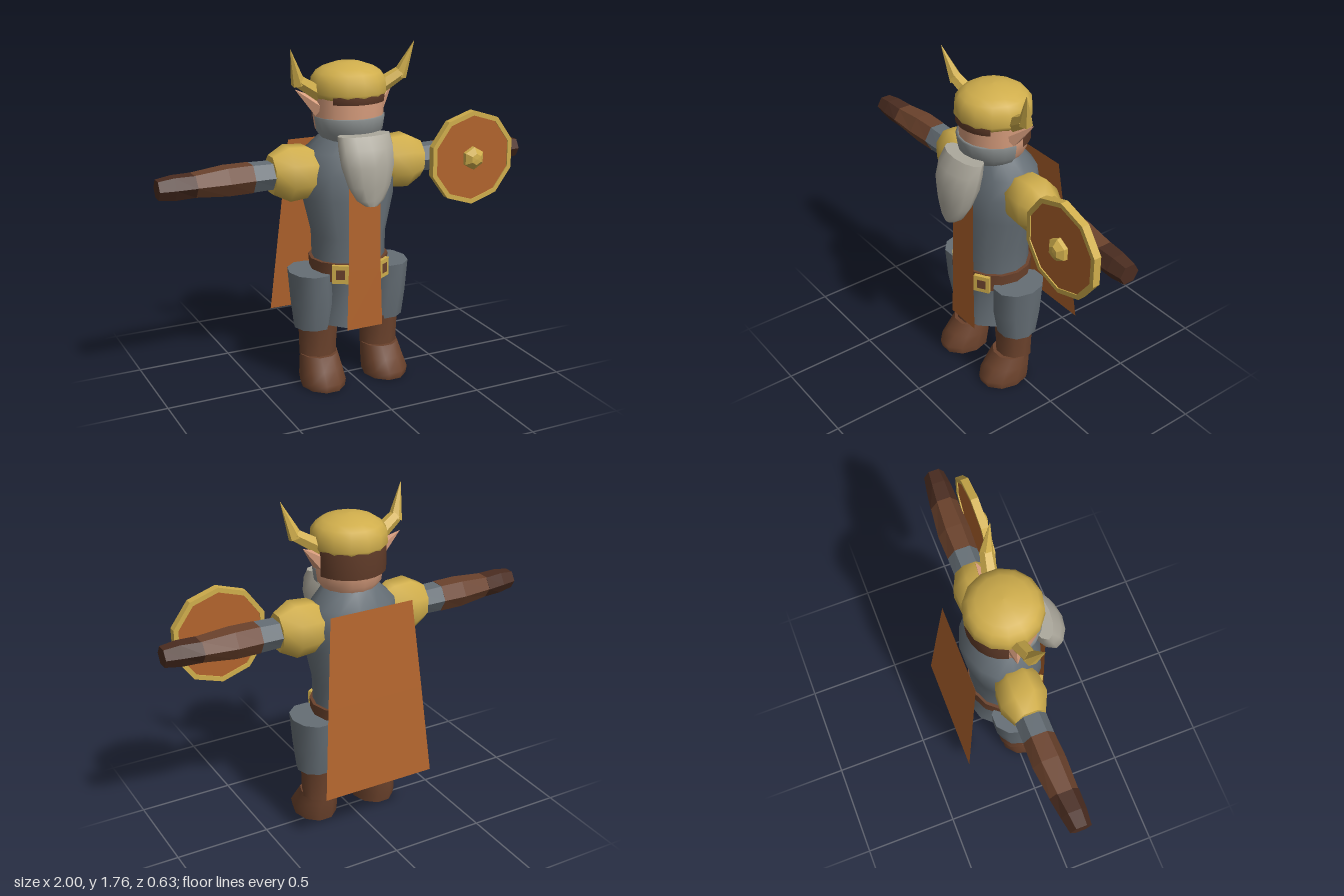
import * as THREE from 'three';

const mat = (name, color, side = THREE.FrontSide) => {
  const m = new THREE.MeshStandardMaterial({ color, side });
  m.name = name;
  return m;
};

// Flat facets: unshared vertices with face normals
function facet(geo) {
  const g = geo.index ? geo.toNonIndexed() : geo;
  g.computeVertexNormals();
  return g;
}

// Capped skin over elliptical sections [y, cx, cz, rx, rz], bottom to top
function loft(sections, n = 12, turn = 0) {
  const pos = [], idx = [];
  const ring = ([y, cx, cz, rx, rz]) => {
    const start = pos.length / 3;
    for (let i = 0; i < n; i++) {
      const a = turn + (i / n) * Math.PI * 2;
      pos.push(cx + rx * Math.cos(a), y, cz + rz * Math.sin(a));
    }
    return start;
  };
  const starts = sections.map(ring);
  for (let j = 0; j + 1 < starts.length; j++) {
    for (let i = 0; i < n; i++) {
      const k = (i + 1) % n, lo = starts[j], hi = starts[j + 1];
      idx.push(lo + i, hi + i, lo + k, hi + i, hi + k, lo + k);
    }
  }
  for (const top of [false, true]) {
    const s = sections[top ? sections.length - 1 : 0];
    const start = ring(s), mid = pos.length / 3;
    pos.push(s[1], s[0], s[2]);
    for (let i = 0; i < n; i++) {
      const k = (i + 1) % n;
      if (top) idx.push(mid, start + k, start + i);
      else idx.push(mid, start + i, start + k);
    }
  }
  const g = new THREE.BufferGeometry();
  g.setAttribute('position', new THREE.Float32BufferAttribute(pos, 3));
  g.setIndex(idx);
  g.computeVertexNormals();
  return g;
}

// Tapered faceted rod between two points
function rod(a, b, r0, r1, n) {
  const p = new THREE.Vector3(...a), q = new THREE.Vector3(...b);
  const d = q.clone().sub(p);
  const g = new THREE.CylinderGeometry(r1, r0, d.length(), n);
  g.applyQuaternion(new THREE.Quaternion().setFromUnitVectors(new THREE.Vector3(0, 1, 0), d.normalize()));
  p.add(q).multiplyScalar(0.5);
  return facet(g.translate(p.x, p.y, p.z));
}

// Lathe, optionally over part of a turn; angle 0 faces the front
function lathe(points, n, from = 0, sweep = Math.PI * 2) {
  return new THREE.LatheGeometry(points.map(([r, y]) => new THREE.Vector2(r, y)), n, from, sweep);
}

// Cloth panel through rows [halfWidth, y, z], top to bottom
function panel(rows) {
  const g = new THREE.PlaneGeometry(1, 1, 1, rows.length - 1);
  const p = g.attributes.position;
  rows.forEach(([w, y, z], j) => {
    p.setXYZ(j * 2, -w, y, z);
    p.setXYZ(j * 2 + 1, w, y, z);
  });
  return facet(g);
}

export function createModel() {
  const gold = mat('gold', 0xd0ae4c);
  const orange = mat('orange cloth', 0xb2642d, THREE.DoubleSide);
  const steel = mat('blue grey', 0x656e75);
  const brown = mat('brown leather', 0x6b422c);
  const dark = mat('dark brown', 0x4a2c20);
  const skin = mat('skin', 0xd69c7c);
  const beardGrey = mat('light grey', 0xaca89c);
  const whisker = mat('mid grey', 0x8b9090);
  const hairBrown = mat('hair brown', 0x633d2a);

  const model = new THREE.Group();
  const add = (name, geo, material, parent = model) => {
    const m = new THREE.Mesh(geo, material);
    m.name = name;
    parent.add(m);
    return m;
  };

  // Body
  add('torso', loft([
    [0.6, 0, 0, 0.19, 0.175], [0.8, 0, 0, 0.195, 0.18], [1.0, 0, -0.005, 0.245, 0.19],
    [1.13, 0, -0.02, 0.25, 0.198], [1.23, 0, -0.03, 0.225, 0.175], [1.31, 0, -0.01, 0.14, 0.13],
  ], 14), steel);
  add('skirt', loft([[0.33, 0, 0, 0.18, 0.195], [0.5, 0, 0, 0.165, 0.175], [0.62, 0, 0, 0.19, 0.18]], 12), steel);
  add('belt', loft([[0.575, 0, 0, 0.2, 0.192], [0.675, 0, 0, 0.21, 0.19]], 14), brown);
  add('tabard', panel([[0.085, 1.15, 0.19], [0.09, 0.64, 0.196], [0.1, 0.33, 0.2]]), orange);
  add('cape', panel([[0.23, 1.25, -0.23], [0.27, 0.78, -0.275], [0.31, 0.3, -0.32]]), orange);

  // Head
  add('head', loft([
    [1.28, 0, 0, 0.12, 0.12], [1.34, 0, 0, 0.168, 0.163], [1.41, 0, 0, 0.18, 0.168], [1.54, 0, 0, 0.18, 0.168],
  ], 16), skin);
  add('whiskers', lathe([[0.135, 1.29], [0.175, 1.34], [0.185, 1.41], [0.17, 1.412]], 10, -Math.PI / 2, Math.PI), whisker);
  add('hair', lathe([[0.165, 1.388], [0.186, 1.39], [0.186, 1.54]], 10, 1.8, 2.68), hairBrown);
  add('brows', lathe([[0.17, 1.484], [0.186, 1.485], [0.186, 1.53]], 8, -0.85, 1.7), hairBrown);
  add('beard', loft([
    [1.0, 0, 0.265, 0.035, 0.028], [1.03, 0, 0.253, 0.075, 0.046], [1.1, 0, 0.24, 0.115, 0.065],
    [1.2, 0, 0.22, 0.142, 0.09], [1.28, 0, 0.2, 0.148, 0.08], [1.34, 0, 0.177, 0.142, 0.058],
  ], 12), beardGrey);
  add('helmet', lathe([
    [0.16, 1.505], [0.18, 1.505], [0.194, 1.53], [0.19, 1.59], [0.165, 1.625], [0.13, 1.648], [0.065, 1.67], [0, 1.674],
  ], 14), gold);

  for (const s of [1, -1]) {
    const side = new THREE.Group();
    side.name = s > 0 ? 'leftSide' : 'rightSide';
    model.add(side);

    // Horn and ear
    add('hornBase', rod([s * 0.16, 1.525, 0], [s * 0.282, 1.6, 0.025], 0.042, 0.034, 6), gold, side);
    add('hornTip', rod([s * 0.277, 1.585, 0.022], [s * 0.335, 1.76, 0.065], 0.037, 0.001, 6), gold, side);
    add('ear', rod([s * 0.155, 1.45, 0], [s * 0.27, 1.545, -0.035], 0.05, 0.001, 5), skin, side);

    // Arm pieces, lofted upward then laid along x
    const limb = (name, sections, n, material, flat) => {
      const g = loft(sections, n, Math.PI / n).rotateZ(-s * Math.PI / 2).translate(0, 1.135, 0);
      add(name, flat ? facet(g) : g, material, side);
    };
    limb('shoulderPad', [[0.18, 0, -0.02, 0.11, 0.1], [0.23, 0, -0.02, 0.14, 0.12],
      [0.33, 0, -0.02, 0.148, 0.128], [0.415, 0, -0.02, 0.102, 0.085]], 8, gold, false);
    limb('sleeve', [[0.38, 0, -0.02, 0.074, 0.08], [0.525, 0, -0.02, 0.078, 0.08]], 6, steel, true);
    limb('forearm', [[0.52, 0, -0.02, 0.08, 0.08], [0.65, 0, -0.018, 0.08, 0.085], [0.82, 0, -0.01, 0.062, 0.072]], 6, brown, true);
    limb('hand', [[0.815, 0, -0.01, 0.062, 0.075], [0.92, 0, -0.003, 0.064, 0.066], [1.0, 0, 0, 0.052, 0.054]], 6, dark, true);

    // Leg
    add('thighPlate', loft([[0.31, s * 0.2, 0, 0.105, 0.105], [0.45, s * 0.205, 0, 0.112, 0.133],
      [0.615, s * 0.215, 0, 0.115, 0.142]], 10), steel, side);
    add('bootShaft', loft([[0.14, s * 0.177, 0, 0.1, 0.094], [0.22, s * 0.177, 0, 0.1, 0.096],
      [0.33, s * 0.175, 0, 0.106, 0.104]], 10), brown, side);
    add('bootFoot', loft([[0, s * 0.18, 0.065, 0.113, 0.138], [0.04, s * 0.181, 0.066, 0.118, 0.146],
      [0.1, s * 0.178, 0.04, 0.11, 0.125], [0.16, s * 0.177, 0.015, 0.102, 0.1]], 10), brown, side);

    // Belt buckle
    const buckle = new THREE.Group();
    buckle.name = 'buckle';
    buckle.position.set(s * 0.12, 0.625, 0.163);
    buckle.rotation.y = s * 0.56;
    side.add(buckle);
    add('buckleFrame', new THREE.BoxGeometry(0.085, 0.095, 0.02), gold, buckle);
    add('buckleInset', new THREE.BoxGeometry(0.045, 0.05, 0.024), brown, buckle);
  }

  // Ten-sided shield
  const shield = new THREE.Group();
  shield.name = 'shield';
  shield.position.set(0.665, 1.135, 0.105);
  shield.rotation.x = Math.PI / 2;
  model.add(shield);
  add('shieldRim', facet(lathe([[0.225, -0.02], [0.25, -0.02], [0.25, 0.02], [0.225, 0.02], [0.225, -0.02]], 10)), gold, shield);
  add('shieldFace', facet(new THREE.CylinderGeometry(0.226, 0.226, 0.028, 10)), orange, shield);
  add('shieldBoss', facet(lathe([[0.062, 0.012], [0.06, 0.035], [0.03, 0.06], [0, 0.063]], 6)), gold, shield);

  return model;
}
